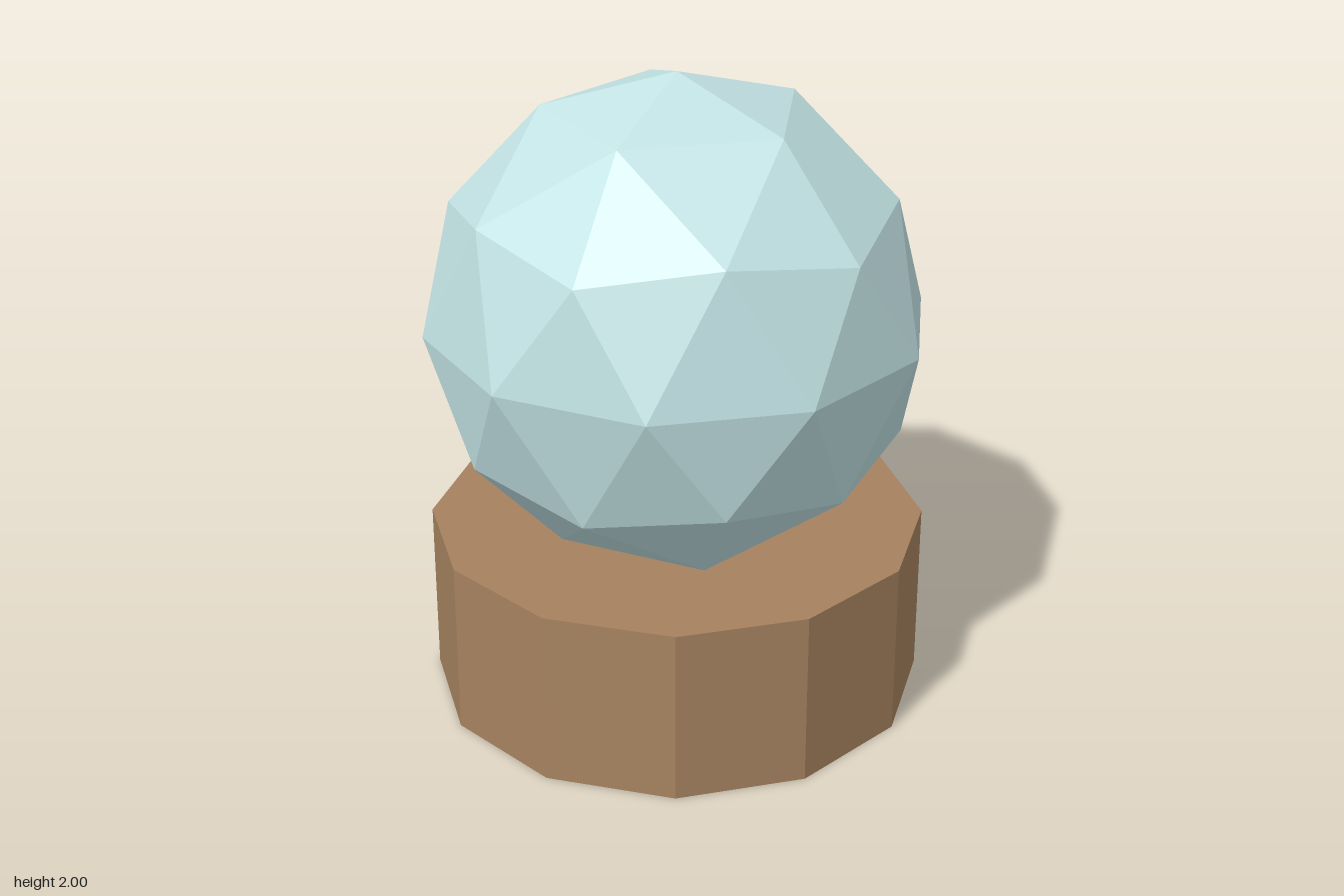
import * as THREE from 'three';

const RADIUS = 0.777;
const BASE_HEIGHT = 0.556;

// Non-indexed copy with one normal per face, for crisp facets
function faceted(geometry) {
  const flat = geometry.index ? geometry.toNonIndexed() : geometry;
  flat.computeVertexNormals();
  return flat;
}

// Icosphere with a corner straight up: two poles and two staggered rings of five
function icosphere(radius, detail) {
  const vertices = [0, 1, 0, 0, -1, 0];
  const faces = [];
  const ringY = 1 / Math.sqrt(5);
  const ringR = 2 / Math.sqrt(5);
  for (let i = 0; i < 5; i++) {
    const a = (i * Math.PI * 2) / 5;
    const b = a + Math.PI / 5;
    vertices.push(ringR * Math.cos(a), ringY, ringR * Math.sin(a));
    vertices.push(ringR * Math.cos(b), -ringY, ringR * Math.sin(b));
    const up = 2 + 2 * i;
    const low = up + 1;
    const nextUp = 2 + 2 * ((i + 1) % 5);
    const nextLow = nextUp + 1;
    faces.push(0, nextUp, up, up, nextUp, low, low, nextUp, nextLow, low, nextLow, 1);
  }
  return new THREE.PolyhedronGeometry(vertices, faces, radius, detail);
}

export function createModel() {
  const glass = new THREE.MeshStandardMaterial({ color: 0xc2e2e4 });
  glass.name = 'pale blue glass';
  const wood = new THREE.MeshStandardMaterial({ color: 0xa6825f });
  wood.name = 'brown wood';

  const model = new THREE.Group();
  model.name = 'globeOnStand';

  // Twelve-sided stand
  const stand = new THREE.Mesh(
    faceted(new THREE.CylinderGeometry(RADIUS, RADIUS, BASE_HEIGHT, 12)), wood);
  stand.name = 'stand';
  stand.position.y = BASE_HEIGHT / 2;

  // Globe, sunk a little into the stand
  const globe = new THREE.Mesh(faceted(icosphere(RADIUS, 1)), glass);
  globe.name = 'globe';
  globe.position.y = 2 - RADIUS;

  model.add(stand, globe);
  return model;
}
